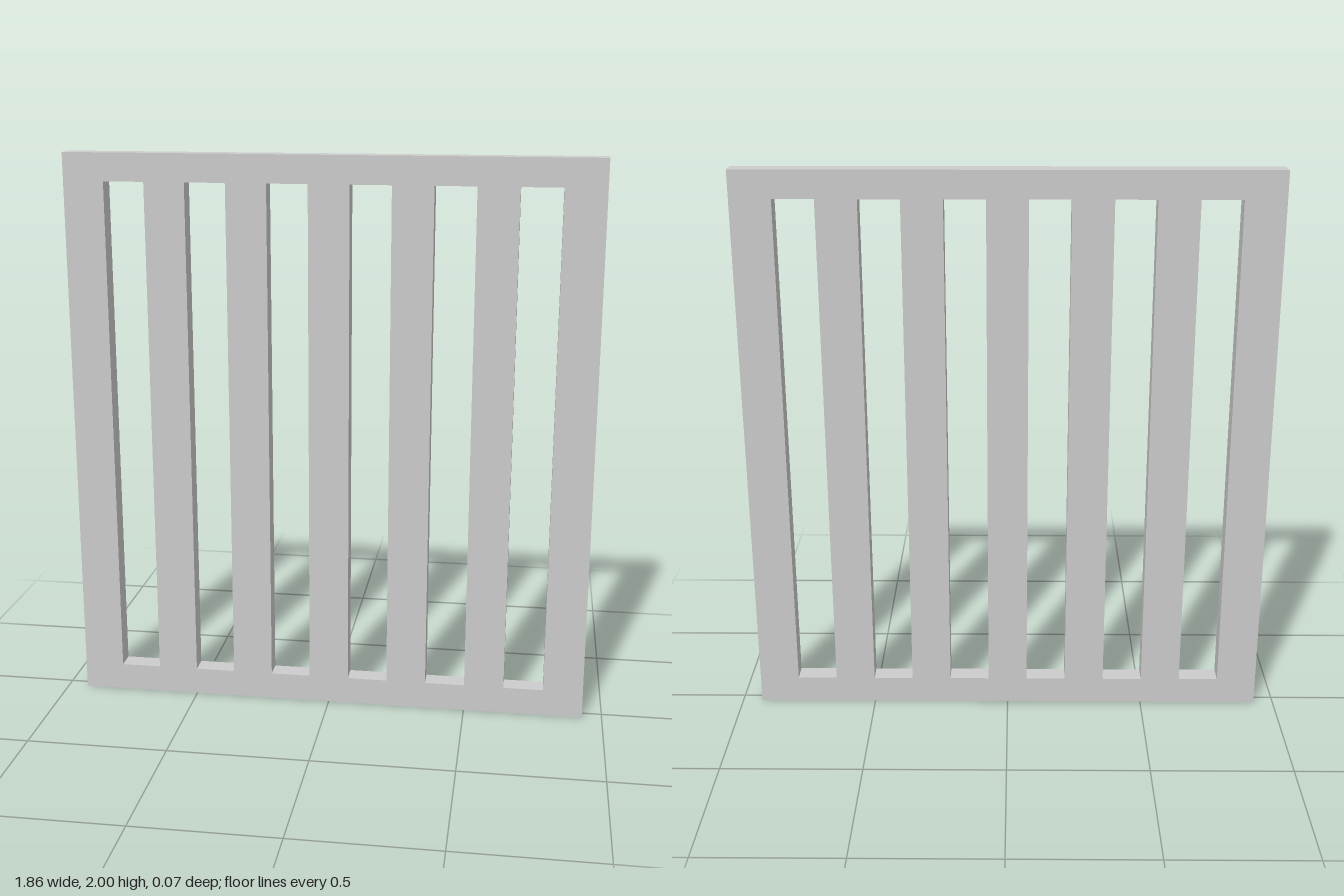
import * as THREE from 'three';

const HEIGHT = 2, DEPTH = 0.072, RAIL = 0.098;
const SLOTS = 6;
const PITCH = 1 / 7; // width of each bar and of each slot
const WIDTH = PITCH * (2 * SLOTS + 1);

// Closed rectangular outline from its lower corner
function rectangle(target, x, y, w, h) {
  target.moveTo(x, y);
  target.lineTo(x + w, y);
  target.lineTo(x + w, y + h);
  target.lineTo(x, y + h);
  target.closePath();
  return target;
}

export function createModel() {
  const group = new THREE.Group();
  group.name = 'barredPanel';

  // Solid panel outline
  const outline = rectangle(new THREE.Shape(), -WIDTH / 2, 0, WIDTH, HEIGHT);

  // Evenly spaced slots leave bars of the same width
  for (let i = 0; i < SLOTS; i++) {
    const x = -WIDTH / 2 + PITCH * (2 * i + 1);
    outline.holes.push(rectangle(new THREE.Path(), x, RAIL, PITCH, HEIGHT - 2 * RAIL));
  }

  const geometry = new THREE.ExtrudeGeometry(outline, { depth: DEPTH, bevelEnabled: false });
  geometry.translate(0, 0, -DEPTH / 2);

  const panel = new THREE.Mesh(
    geometry,
    new THREE.MeshStandardMaterial({ color: 0xcccccc, flatShading: true })
  );
  panel.name = 'slottedPanel';
  group.add(panel);
  return group;
}
